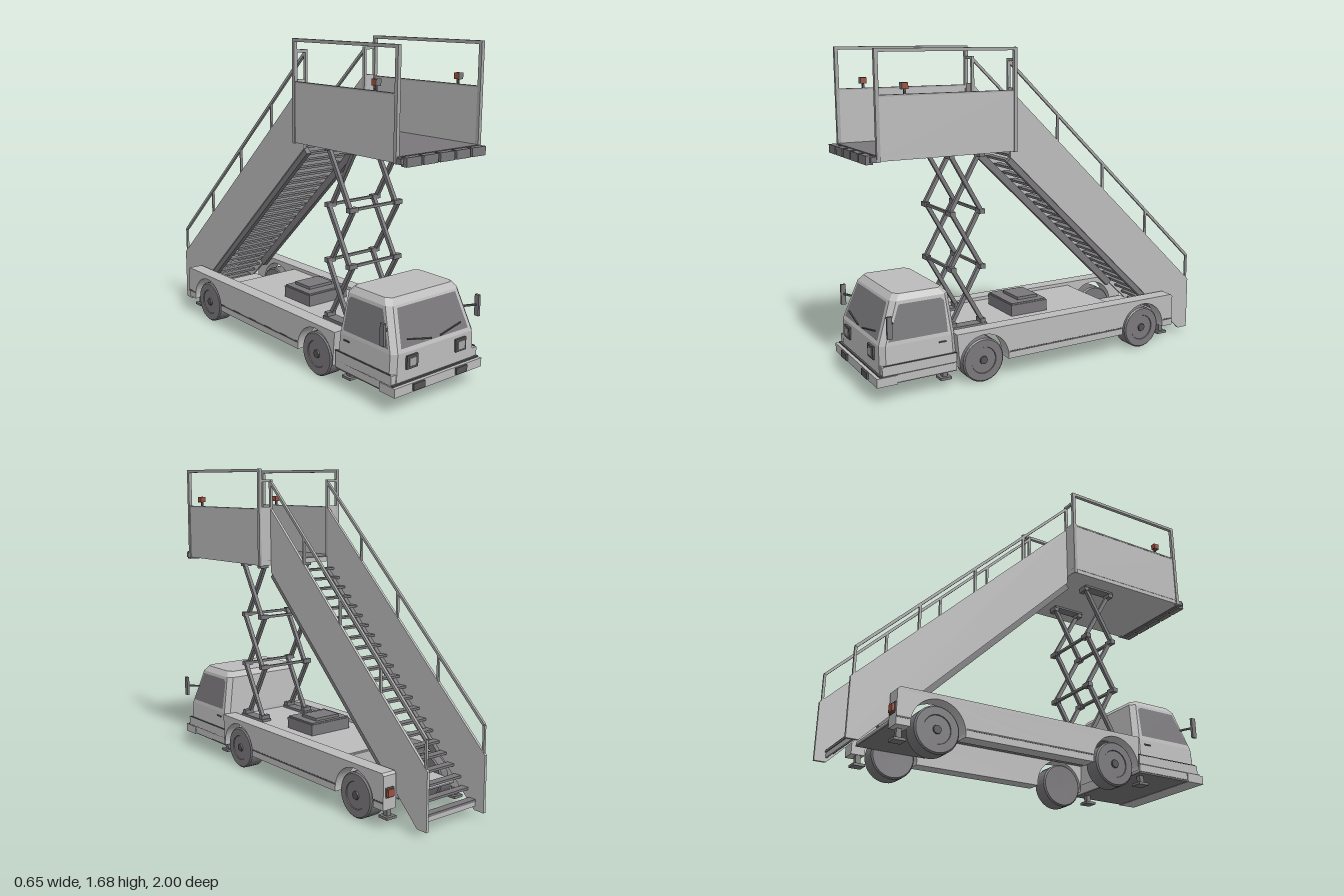
import * as THREE from 'three';

const mat = (name, color, side = THREE.FrontSide) => {
  const m = new THREE.MeshStandardMaterial({ color, side });
  m.name = name;
  return m;
};

export function createModel() {
  const root = new THREE.Group();
  root.name = 'passengerStairTruck';
  const body = mat('bodyGrey', 0xbcbcbc);
  const rail = mat('railGrey', 0xa6a6a6);
  const dark = mat('darkGrey', 0x7a787b);
  const black = mat('trimBlack', 0x555456);
  const glass = mat('windowGlass', 0x777578, THREE.DoubleSide);
  const red = mat('lampRed', 0xa0503e);

  const add = (name, geo, m) => {
    const mesh = new THREE.Mesh(geo, m);
    mesh.name = name;
    root.add(mesh);
    return mesh;
  };
  // box given by its extents
  const box = (name, m, x0, x1, y0, y1, z0, z1) => {
    const b = add(name, new THREE.BoxGeometry(Math.abs(x1 - x0), y1 - y0, z1 - z0), m);
    b.position.set((x0 + x1) / 2, (y0 + y1) / 2, (z0 + z1) / 2);
  };
  // square bar between two points
  const bar = (name, m, a, b, w, h = w) => {
    const p = new THREE.Vector3(...a), q = new THREE.Vector3(...b);
    const mesh = add(name, new THREE.BoxGeometry(w, h, p.distanceTo(q)), m);
    mesh.position.copy(p).add(q).multiplyScalar(0.5);
    mesh.lookAt(q);
  };
  // slab with a (z, y) outline, centred on x = cx
  const slab = (name, m, shape, cx, w) => {
    const g = new THREE.ExtrudeGeometry(shape, { depth: w, bevelEnabled: false, curveSegments: 24 });
    add(name, g.rotateY(-Math.PI / 2).translate(cx + w / 2, 0, 0), m);
  };
  const poly = pts => new THREE.Shape(pts.map(p => new THREE.Vector2(...p)));
  // flat plate whose outline (u, y) is laid on a sloping face by a rule
  const plate = (name, m, pts, rule) => {
    const g = new THREE.ShapeGeometry(poly(pts)), p = g.attributes.position;
    for (let i = 0; i < p.count; i++) p.setXYZ(i, ...rule(p.getX(i), p.getY(i)));
    g.computeVertexNormals();
    add(name, g, m);
  };

  // cab: chamfered rings [y, half width, back z, front z]
  const rings = [[0.14, 0.284, 0.55, 0.958], [0.28, 0.275, 0.555, 0.955],
    [0.485, 0.24, 0.573, 0.88], [0.515, 0.218, 0.6, 0.855]];
  const c = 0.025, pos = [], idx = [];
  rings.forEach(([y, w, b, f]) => [[w, f - c], [w - c, f], [c - w, f], [-w, f - c],
    [-w, b + c], [c - w, b], [w - c, b], [w, b + c]].forEach(([x, z]) => pos.push(x, y, z)));
  for (let r = 0; r < 3; r++) for (let i = 0; i < 8; i++) {
    const a = r * 8 + i, d = r * 8 + (i + 1) % 8;
    idx.push(a, a + 8, d, d, a + 8, d + 8);
  }
  for (let i = 1; i < 7; i++) idx.push(24, 24 + i + 1, 24 + i);
  let cab = new THREE.BufferGeometry();
  cab.setAttribute('position', new THREE.Float32BufferAttribute(pos, 3));
  cab.setIndex(idx);
  cab = cab.toNonIndexed();
  cab.computeVertexNormals();
  add('cab', cab, body);
  const frontZ = (y, o) => 0.955 - (y - 0.28) * 0.366 + o;
  const sideX = (y, o) => 0.275 - (y - 0.28) * 0.171 + o;
  plate('windscreen', glass, [[-0.225, 0.3], [0.225, 0.3], [0.195, 0.475], [-0.195, 0.475]],
    (x, y) => [x, y, frontZ(y, 0.003)]);
  box('frontBumper', body, -0.295, 0.295, 0.09, 0.135, 0.88, 0.985);
  box('bumperTrim', black, -0.29, 0.29, 0.135, 0.142, 0.56, 0.968);
  box('cabSill', body, -0.29, 0.29, 0.1, 0.185, 0.56, 0.955);
  box('cabUnderside', dark, -0.285, 0.285, 0.092, 0.1, 0.56, 0.9);

  // load bed: high over the middle, low under the foot of the stairs
  box('bed', body, -0.216, 0.216, 0.256, 0.262, -0.43, 0.56);
  box('bedUnderside', dark, -0.216, 0.216, 0.25, 0.256, -0.43, 0.56);
  box('rearBed', body, -0.188, 0.188, 0.14, 0.15, -0.8, -0.43);
  box('rearBedUnderside', dark, -0.188, 0.188, 0.13, 0.14, -0.8, -0.43);
  box('bedStep', body, -0.188, 0.188, 0.13, 0.256, -0.44, -0.43);
  box('powerUnit', dark, -0.13, 0.13, 0.262, 0.322, -0.065, 0.155);
  box('powerUnitLid', dark, -0.125, 0.125, 0.322, 0.33, -0.06, 0.15);
  box('powerUnitHatch', dark, -0.08, 0.08, 0.33, 0.345, -0.035, 0.09);

  const wall = new THREE.Shape();
  wall.moveTo(0.56, 0.1);
  for (const z of [0.405, -0.6]) wall.absarc(z, 0.115, 0.14, -0.107, Math.PI + 0.107, false);
  [[-0.81, 0.1], [-0.81, 0.268], [-0.798, 0.28], [0.56, 0.28]].forEach(p => wall.lineTo(...p));
  wall.closePath();

  // tyre and rim profile turned about the axle
  const tyre = [[0, -0.045], [0.108, -0.047], [0.115, -0.04], [0.115, 0.04],
    [0.108, 0.047], [0.07, 0.047], [0.068, 0.043], [0, 0.043]];

  // stairs follow one slope
  const slope = 0.965, low = z => 1.13 + (z - 0.2) * slope, hand = z => 1.61 + (z - 0.2) * slope;
  const stairSide = poly([[0.2, 1.47], [-1, 0.32], [-1, 0.03], [-0.94, 0.03], [0.2, 1.13]]);

  for (const s of [-1, 1]) {
    slab('sideWall', body, wall, s * 0.255, 0.08);
    for (const [a, b] of [[-0.458, 0.263], [-0.81, -0.742]])
      box('wallTrim', black, s * 0.29, s * 0.296, 0.133, 0.142, a, b);
    box('cabSeam', black, s * 0.284, s * 0.291, 0.185, 0.19, 0.56, 0.945);
    box('tailLampMount', black, s * 0.228, s * 0.282, 0.158, 0.21, -0.813, -0.81);
    box('tailLamp', red, s * 0.236, s * 0.276, 0.166, 0.202, -0.824, -0.812);

    // wheels
    for (const z of [0.405, -0.6]) {
      const g = new THREE.LatheGeometry(tyre.map(p => new THREE.Vector2(...p)), 32).toNonIndexed();
      g.computeVertexNormals();
      const w = add('wheel', g, dark);
      w.rotation.z = -s * Math.PI / 2;
      w.position.set(s * 0.237, 0.115, z);
      const hub = add('wheelHub', new THREE.CylinderGeometry(0.02, 0.023, 0.01, 16), black);
      hub.rotation.z = -s * Math.PI / 2;
      hub.position.set(s * 0.282, 0.115, z);
    }
    // stabiliser feet
    for (const z of [0.605, -0.77]) {
      box('stabiliserLeg', dark, s * 0.22, s * 0.245, 0.05, 0.14, z - 0.013, z + 0.013);
      box('stabiliserFoot', dark, s * 0.2, s * 0.26, 0.042, 0.055, z - 0.03, z + 0.03);
    }

    // cab details
    plate('sideWindow', glass, [[0.915, 0.3], [0.6, 0.3], [0.606, 0.455], [0.622, 0.47], [0.845, 0.47]],
      (z, y) => [s * sideX(y, 0.003), y, z]);
    box('doorHandle', black, s * 0.275, s * 0.282, 0.25, 0.257, 0.61, 0.65);
    box('headlampFrame', black, s * 0.128, s * 0.2, 0.198, 0.263, 0.95, 0.966);
    box('headlamp', rail, s * 0.142, s * 0.186, 0.21, 0.251, 0.966, 0.97);
    box('bumperPad', black, s * 0.107, s * 0.182, 0.098, 0.132, 0.985, 0.995);
    const wy = [0.335, 0.308];
    bar('wiper', black, [s * 0.18, wy[0], frontZ(wy[0], 0.008)], [s * 0.03, wy[1], frontZ(wy[1], 0.008)], 0.006);
    box('mirror', dark, s * 0.312, s * 0.326, 0.332, 0.442, 0.912, 0.938);
    bar('mirrorArm', black, [s * 0.255, 0.385, 0.885], [s * 0.318, 0.39, 0.925], 0.009);

    // scissor lift
    const x = s * 0.15, ys = [0.285, 0.575, 0.862, 1.15];
    for (let i = 0; i < 3; i++) {
      bar('scissorArm', dark, [x - 0.012, ys[i], 0.515], [x - 0.012, ys[i + 1], 0.35], 0.02);
      bar('scissorArm', dark, [x + 0.012, ys[i], 0.35], [x + 0.012, ys[i + 1], 0.515], 0.02);
    }
    for (const y of ys) for (const z of [0.35, 0.515])
      box('scissorJoint', dark, x - 0.027, x + 0.027, y - 0.012, y + 0.012, z - 0.014, z + 0.014);
    box('scissorBase', dark, x - 0.03, x + 0.03, 0.262, 0.276, 0.33, 0.535);
    box('scissorHead', dark, x - 0.03, x + 0.03, 1.158, 1.168, 0.34, 0.525);

    // platform sides and railings
    box('platformPanel', body, s * 0.258, s * 0.27, 1.19, 1.47, 0.2, 0.94);
    box('panelCap', rail, s * 0.256, s * 0.272, 1.464, 1.472, 0.2, 0.94);
    for (const z of [0.2, 0.924])
      box('railPost', rail, s * 0.256, s * 0.275, 1.165, 1.68, z, z + 0.018);
    box('topRail', rail, s * 0.256, s * 0.275, 1.664, 1.68, 0.2, 0.942);
    box('cornerPanel', body, s * 0.19, s * 0.262, 1.17, 1.48, 0.2, 0.21);
    box('cornerRail', rail, s * 0.19, s * 0.262, 1.61, 1.625, 0.2, 0.214);
    box('cornerPost', rail, s * 0.188, s * 0.202, 1.17, 1.625, 0.198, 0.214);
    box('beaconStem', black, s * 0.26, s * 0.27, 1.47, 1.497, 0.79, 0.8);
    box('beacon', red, s * 0.251, s * 0.279, 1.495, 1.525, 0.781, 0.809);
    box('beaconShield', dark, s * 0.25, s * 0.28, 1.494, 1.526, 0.809, 0.813);

    // stair sides and handrails
    slab('stairSide', body, stairSide, s * 0.195, 0.014);
    bar('stairBeam', dark, [s * 0.18, low(0.2) - 0.012, 0.2], [s * 0.18, low(-0.7) - 0.012, -0.7], 0.028, 0.04);
    bar('handrail', rail, [s * 0.195, hand(0.2), 0.205], [s * 0.195, hand(-0.985), -0.985], 0.014);
    for (const z of [-0.085, -0.375, -0.675, -0.985])
      box('handrailPost', rail, s * 0.189, s * 0.201, low(z) + 0.3, hand(z), z - 0.006, z + 0.006);
  }

  // bars joining both scissor sides
  for (const y of [0.575, 0.862]) for (const z of [0.35, 0.515])
    bar('scissorCrossbar', dark, [-0.15, y, z], [0.15, y, z], 0.014);

  // platform floor and front buffers
  box('platformFrame', body, -0.268, 0.268, 1.168, 1.192, 0.2, 0.945);
  box('platformFloor', dark, -0.268, 0.268, 1.192, 1.198, 0.2, 0.945);
  box('platformBuffer', dark, -0.272, 0.272, 1.165, 1.192, 0.94, 0.97);
  for (const x of [-0.21, -0.105, 0, 0.105, 0.21])
    box('bufferPad', dark, x - 0.046, x + 0.046, 1.155, 1.198, 0.955, 0.99);

  // stair treads and the kick plate below the first one
  for (let i = 0; i < 23; i++) {
    const z = -0.928 + i * 0.0495, y = low(z) + 0.045;
    box('tread', dark, -0.19, 0.19, y - 0.012, y, z - 0.021, z + 0.021);
  }
  box('kickPlate', body, -0.19, 0.19, 0.05, 0.078, -0.945, -0.937);
  return root;
}
